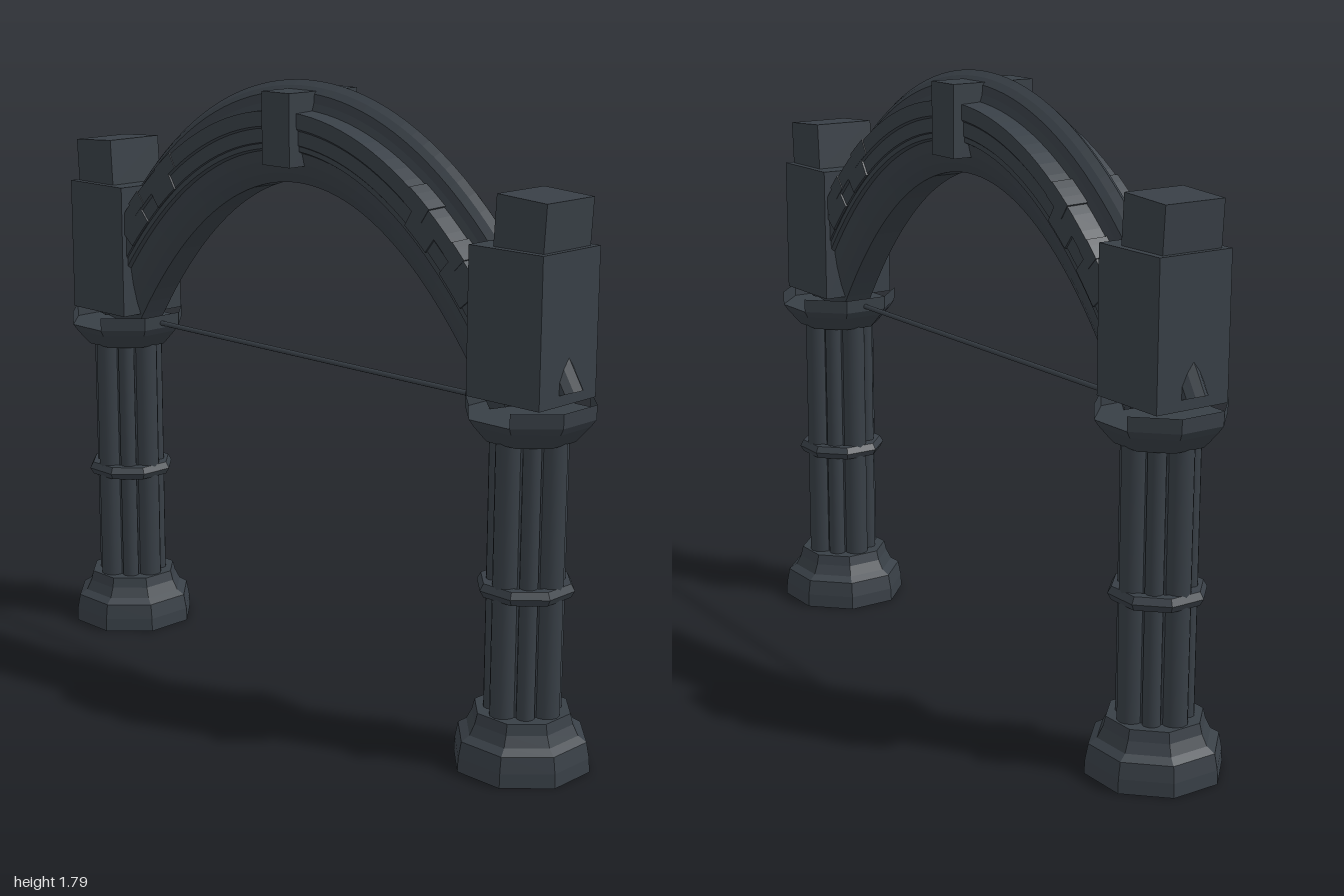
import * as THREE from 'three';

const stone = new THREE.MeshStandardMaterial({ color: 0x383f46, side: THREE.DoubleSide });
stone.name = 'darkSlate';

// Flat normals for hard-edged masonry
function facet(geometry) {
  const g = geometry.index ? geometry.toNonIndexed() : geometry;
  g.computeVertexNormals();
  return g;
}

function add(parent, name, geometry, x = 0, y = 0, z = 0) {
  const mesh = new THREE.Mesh(geometry, stone);
  mesh.name = name;
  mesh.position.set(x, y, z);
  parent.add(mesh);
  return mesh;
}

// Octagonal turned piece; profile is [half width across flats, y]
function octagon(profile, start = Math.PI / 8, sides = 8) {
  const k = 1 / Math.cos(Math.PI / 8);
  const points = profile.map(([r, y]) => new THREE.Vector2(r * k, y));
  return facet(new THREE.LatheGeometry(points, sides, start, sides * Math.PI / 4));
}

// Point on the arch: s runs -1..1 along it, t runs 0 (inner) to 1 (outer)
function archPoint(s, t, z) {
  const s2 = s * s;
  return [
    s * (0.72 + 0.27 * t),
    1.505 + 0.285 * t - s2 * (0.485 + 0.11 * t) - s2 * s2 * (0.04 + 0.085 * t),
    z,
  ];
}

// Sweep a closed [z, t] section along the arch, with end caps
function archSweep(section, s0, s1, steps) {
  const pos = [];
  const n = section.length;
  const at = (i, j) => archPoint(s0 + (s1 - s0) * i / steps, section[j % n][1], section[j % n][0]);
  for (let i = 0; i < steps; i++) {
    for (let j = 0; j < n; j++) {
      const a = at(i, j), b = at(i + 1, j), c = at(i + 1, j + 1), d = at(i, j + 1);
      pos.push(...a, ...c, ...b, ...a, ...d, ...c);
    }
  }
  const outline = section.map(([z, t]) => new THREE.Vector2(z, t));
  for (const [a, b, c] of THREE.ShapeUtils.triangulateShape(outline, [])) {
    pos.push(...at(0, a), ...at(0, c), ...at(0, b));
    pos.push(...at(steps, a), ...at(steps, b), ...at(steps, c));
  }
  const g = new THREE.BufferGeometry();
  g.setAttribute('position', new THREE.Float32BufferAttribute(pos, 3));
  g.computeVertexNormals();
  return g;
}

// Raised stone between two places on the arch, repeated on both sides and both faces
function addStones(parent, name, section, s0, s1) {
  for (const side of [-1, 1]) {
    for (const face of [-1, 1]) {
      const outline = section.map(([z, t]) => [z * face, t]);
      if (side * face < 0) outline.reverse();
      add(parent, name, archSweep(outline, s0 * side, s1 * side, 3));
    }
  }
}

function buildColumn(side) {
  const column = new THREE.Group();
  column.name = side > 0 ? 'leftColumn' : 'rightColumn';
  column.position.x = side * 0.82;

  // Stepped octagonal base
  add(column, 'base', octagon([
    [0, 0], [0.178, 0], [0.176, 0.04], [0.168, 0.085], [0.146, 0.1], [0.132, 0.13], [0.125, 0.16], [0, 0.16],
  ]));

  // Clustered shaft: core with large shafts on the axes and small ones between
  add(column, 'shaftCore', octagon([[0.078, 0.15], [0.078, 0.93]]));
  for (let i = 0; i < 8; i++) {
    const a = i * Math.PI / 4;
    const [r, d] = i % 2 ? [0.025, 0.081] : [0.036, 0.083];
    add(column, i % 2 ? 'smallShaft' : 'largeShaft', new THREE.CylinderGeometry(r, r, 0.78, 12),
      Math.sin(a) * d, 0.54, Math.cos(a) * d);
  }

  // Band around the shaft
  add(column, 'shaftRing', octagon([
    [0.09, 0.488], [0.116, 0.488], [0.126, 0.507], [0.116, 0.526], [0.09, 0.527],
  ]));

  // Capital, with a rim left open at front and back
  add(column, 'capital', octagon([
    [0, 0.915], [0.115, 0.915], [0.128, 0.93], [0.152, 0.96], [0.165, 0.98], [0, 0.98],
  ]));
  for (const start of [Math.PI / 8, 9 * Math.PI / 8]) {
    add(column, 'capitalRim', octagon([[0.165, 0.98], [0.166, 1.02]], start, 3));
  }

  // Block above the capital and the tilted stone on top
  add(column, 'pierBlock', new THREE.BoxGeometry(0.245, 0.4, 0.232), 0, 1.225);
  const top = add(column, 'topBlock', new THREE.BoxGeometry(0.164, 0.14, 0.19), side * 0.028, 1.487);
  top.rotation.z = -side * 0.06;
  return column;
}

export function createModel() {
  const model = new THREE.Group();
  model.name = 'stoneArch';

  for (const side of [-1, 1]) model.add(buildColumn(side));

  // Moulded arch: splayed inner rib, stepped face and pointed ridge
  const half = [
    [0.045, 0], [0.062, 0.1], [0.076, 0.22], [0.084, 0.33], [0.096, 0.35], [0.096, 0.4], [0.1, 0.41],
    [0.1, 0.55], [0.106, 0.57], [0.106, 0.72], [0.045, 0.73], [0.038, 0.8], [0.036, 0.89], [0.02, 0.95],
  ];
  const section = [...half, [0, 1], ...half.map(([z, t]) => [-z, t]).reverse()];
  add(model, 'arch', archSweep(section, -1, 1, 48));

  // Raised stones in the arch faces and along its shoulders
  const faceStone = [[0.099, 0.4], [0.106, 0.4], [0.106, 0.57], [0.099, 0.57]];
  for (const [s0, s1] of [[0.56, 0.65], [0.71, 0.8]]) addStones(model, 'faceStone', faceStone, s0, s1);
  const shoulderStone = [[0.04, 0.7], [0.108, 0.57], [0.108, 0.735], [0.04, 0.745]];
  for (const [s0, s1] of [[0.525, 0.6], [0.69, 0.735]]) addStones(model, 'shoulderStone', shoulderStone, s0, s1);

  // Keystone
  add(model, 'keystone', new THREE.BoxGeometry(0.11, 0.205, 0.266), 0, 1.662);

  // Tie rod between the capitals
  const rod = add(model, 'tieRod', new THREE.CylinderGeometry(0.008, 0.008, 1.46, 8), 0, 0.995);
  rod.rotation.z = Math.PI / 2;

  return model;
}
